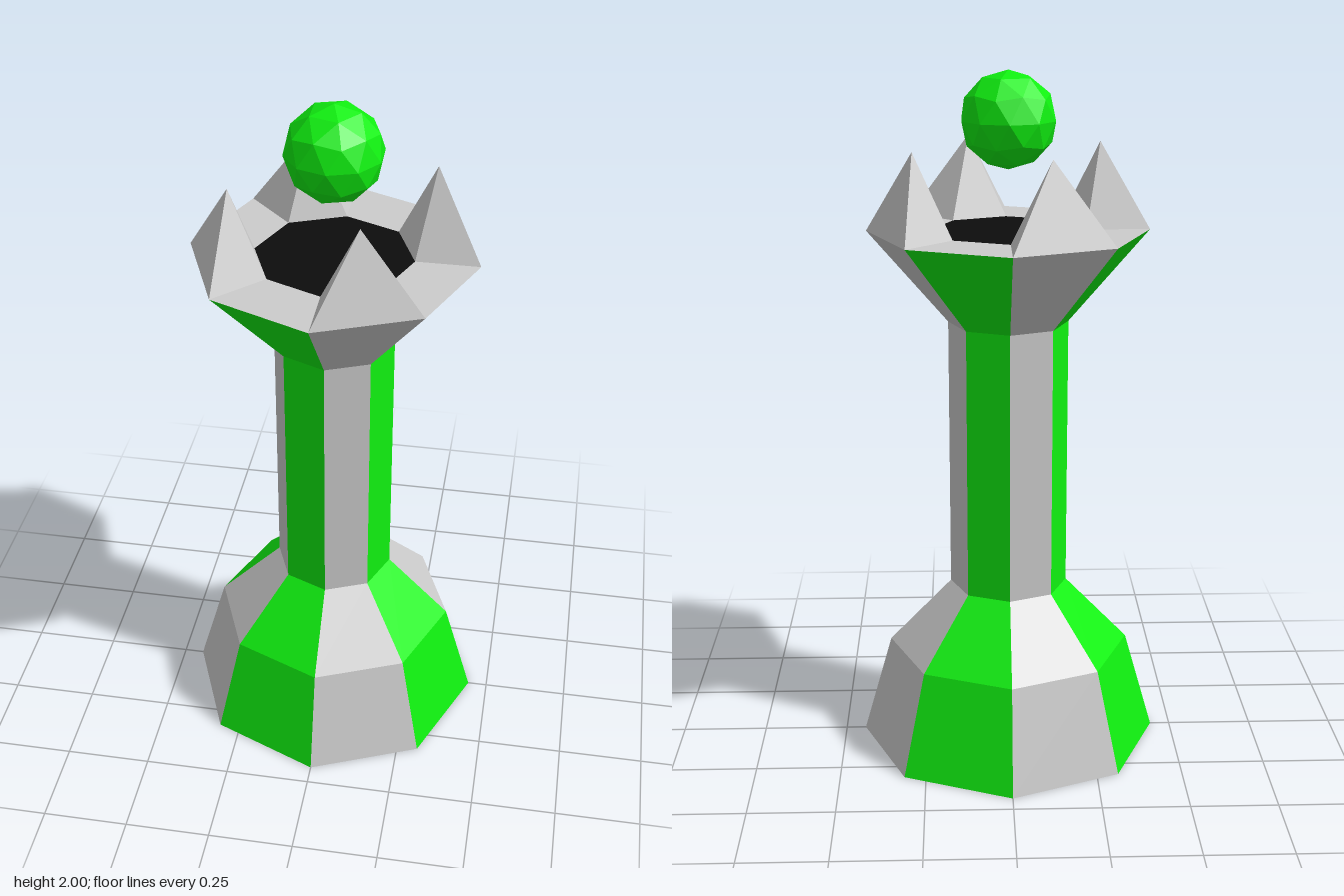
import * as THREE from 'three';
import { mergeGeometries } from 'three/addons/utils/BufferGeometryUtils.js';

const SIDES = 8;
const STEP = (Math.PI * 2) / SIDES;
const RIM_Y = 1.555, RIM_R = 0.402, WELL_R = 0.222, BASE_R = 0.442;

const material = (color) => new THREE.MeshStandardMaterial({ color, flatShading: true });
const grey = material(0xcccccc);
const green = material(0x10f010);
const black = material(0x0d0d0d);

function part(name, geometry, mat) {
  const mesh = new THREE.Mesh(geometry, mat);
  mesh.name = name;
  return mesh;
}

// Point on a ring; corner 0 faces the front
const corner = (k, r, y) => [r * Math.sin(k * STEP), y, r * Math.cos(k * STEP)];

// Eight-sided band whose panels alternate between grey and green
function band(name, r0, y0, r1, y1) {
  const group = new THREE.Group();
  group.name = name;
  [grey, green].forEach((mat, parity) => {
    const panels = [];
    for (let k = parity; k < SIDES; k += 2) {
      const panel = new THREE.CylinderGeometry(r1, r0, y1 - y0, 1, 1, true, k * STEP, STEP);
      panels.push(panel.translate(0, (y0 + y1) / 2, 0));
    }
    group.add(part(parity ? 'greenPanels' : 'greyPanels', mergeGeometries(panels), mat));
  });
  return group;
}

// Four-sided pyramid standing on one segment of the rim
function spike(k) {
  const foot = [
    corner(k, RIM_R, RIM_Y), corner(k + 1, RIM_R, RIM_Y),
    corner(k + 1, WELL_R, RIM_Y), corner(k, WELL_R, RIM_Y),
  ];
  const apex = [0, 1.79, 0];
  foot.forEach((p) => { apex[0] += p[0] / 4; apex[2] += p[2] / 4; });
  const positions = [];
  foot.forEach((p, i) => positions.push(...p, ...foot[(i + 1) % 4], ...apex));
  const geometry = new THREE.BufferGeometry();
  geometry.setAttribute('position', new THREE.Float32BufferAttribute(positions, 3));
  geometry.computeVertexNormals();
  return geometry;
}

export function createModel() {
  const model = new THREE.Group();
  model.name = 'chessTower';

  // Base, shaft and flared head
  model.add(band('base', BASE_R, 0, 0.357, 0.3));
  model.add(band('shoulder', 0.357, 0.3, 0.173, 0.49));
  model.add(band('shaft', 0.173, 0.49, 0.173, 1.29));
  model.add(band('head', 0.173, 1.29, RIM_R, RIM_Y));
  model.add(part('underside', new THREE.CircleGeometry(BASE_R, SIDES).rotateX(Math.PI / 2), grey));

  // Rim with a dark centre
  const flat = (geometry) => geometry.rotateX(-Math.PI / 2).translate(0, RIM_Y, 0);
  model.add(part('rim', flat(new THREE.RingGeometry(WELL_R, RIM_R, SIDES)), grey));
  model.add(part('well', flat(new THREE.CircleGeometry(WELL_R, SIDES)), black));

  // Spikes on every second rim segment
  for (let k = 0; k < SIDES; k += 2) model.add(part('spike', spike(k), grey));

  // Floating faceted orb, turned to stand on one of its corners
  const orb = new THREE.IcosahedronGeometry(0.137, 1);
  orb.rotateZ(-Math.atan(2 / (1 + Math.sqrt(5)))).translate(0, 1.863, 0);
  model.add(part('orb', orb, green));

  return model;
}
